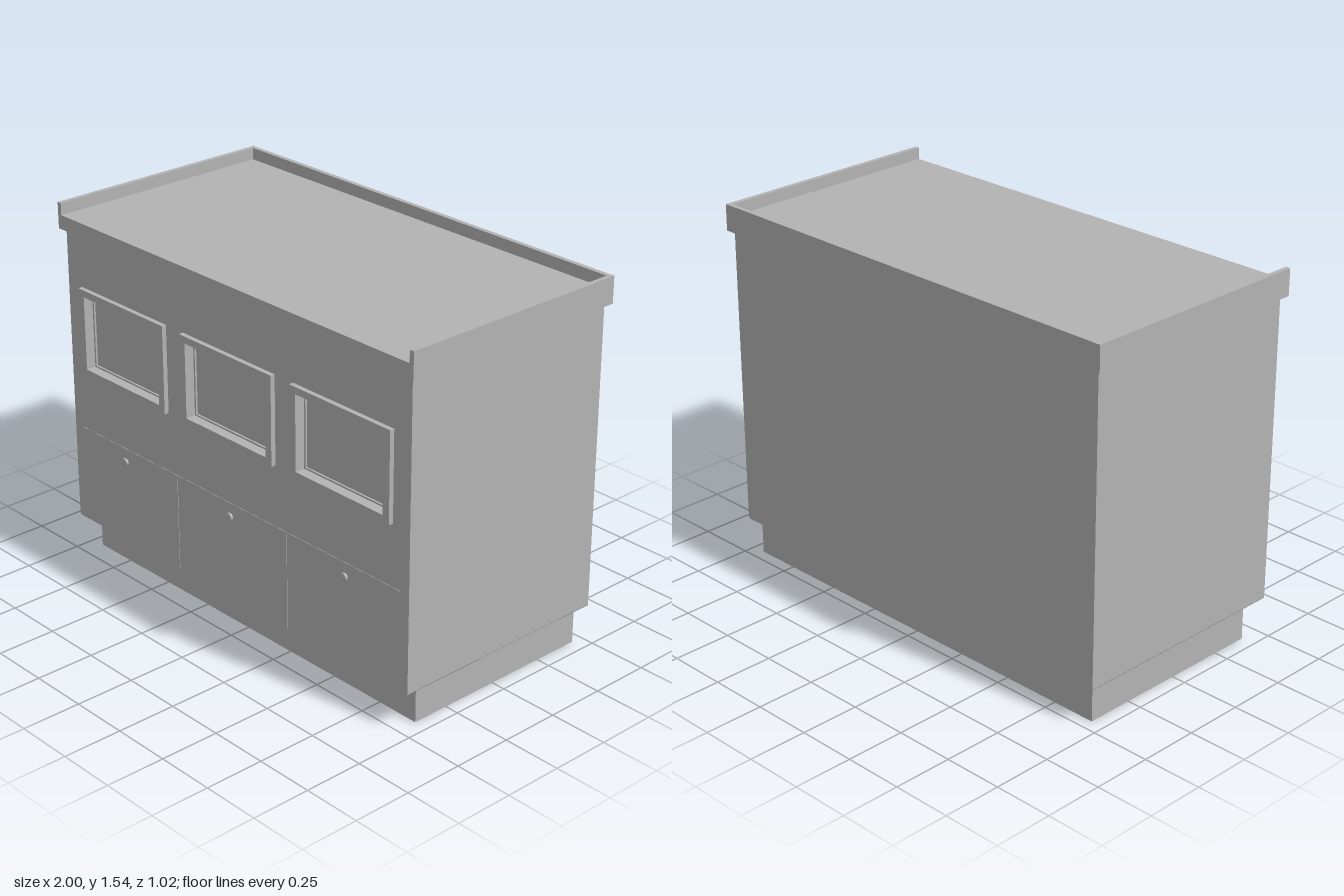
import * as THREE from 'three';

export function createModel() {
  const model = new THREE.Group();
  model.name = 'serviceCounter';
  const grey = new THREE.MeshStandardMaterial({ color: 0xb3b3b3 });
  grey.name = 'warmGrey';

  const add = (name, geometry, parent = model) => {
    const mesh = new THREE.Mesh(geometry, grey);
    mesh.name = name;
    parent.add(mesh);
    return mesh;
  };
  // Box given by its minimum and maximum on each axis
  const box = (name, x0, x1, y0, y1, z0, z1, parent) => {
    const mesh = add(name, new THREE.BoxGeometry(x1 - x0, y1 - y0, z1 - z0), parent);
    mesh.position.set((x0 + x1) / 2, (y0 + y1) / 2, (z0 + z1) / 2);
    return mesh;
  };
  const rectPath = (path, x0, x1, y0, y1) => {
    path.moveTo(x0, y0).lineTo(x1, y0).lineTo(x1, y1).lineTo(x0, y1).closePath();
    return path;
  };
  const roundedRect = (x0, x1, y0, y1, r) => {
    const s = new THREE.Shape();
    s.absarc(x1 - r, y0 + r, r, -Math.PI / 2, 0);
    s.absarc(x1 - r, y1 - r, r, 0, Math.PI / 2);
    s.absarc(x0 + r, y1 - r, r, Math.PI / 2, Math.PI);
    s.absarc(x0 + r, y0 + r, r, Math.PI, Math.PI * 1.5);
    s.closePath();
    return s;
  };
  const extrude = (shape, depth) =>
    new THREE.ExtrudeGeometry(shape, { depth, bevelEnabled: false, curveSegments: 4 });

  // Recessed plinth
  box('plinth', -0.94, 0.94, 0, 0.16, -0.45, 0.41);

  // Cabinet body with a front panel pierced by three openings
  const centres = [-0.627, 0, 0.627];
  const outline = () => roundedRect(-0.977, 0.977, 0.16, 1.43, 0.01);
  add('body', extrude(outline(), 0.95)).position.z = -0.49;
  const front = outline();
  for (const c of centres) {
    front.holes.push(rectPath(new THREE.Path(), c - 0.23, c + 0.23, 0.865, 1.178));
  }
  add('frontPanel', extrude(front, 0.03)).position.z = 0.46;

  // Raised window frames, each with a narrow inner stop
  for (const c of centres) {
    const frame = new THREE.Group();
    frame.name = 'windowFrame';
    frame.position.x = c;
    model.add(frame);
    box('frameTop', -0.263, 0.263, 1.178, 1.207, 0.49, 0.51, frame);
    box('frameBottom', -0.263, 0.263, 0.836, 0.865, 0.49, 0.51, frame);
    for (const s of [-1, 1]) {
      const side = box('frameSide', -0.0165, 0.0165, 0.865, 1.178, 0.49, 0.51, frame);
      side.position.x = s * 0.2465;
    }
    const stop = rectPath(new THREE.Shape(), -0.23, 0.23, 0.865, 1.178);
    stop.holes.push(rectPath(new THREE.Path(), -0.222, 0.222, 0.872, 1.164));
    add('innerStop', extrude(stop, 0.008), frame).position.z = 0.46;
  }

  // Fine door seams
  box('doorSeamTop', -0.93, 0.93, 0.577, 0.581, 0.488, 0.492);
  for (const x of [-0.322, 0.322]) {
    box('doorSeam', x - 0.002, x + 0.002, 0.165, 0.577, 0.488, 0.492);
  }

  // Round door locks
  const profile = [[0.013, 0], [0.017, 0.004], [0.017, 0.01], [0.014, 0.013], [0, 0.013]]
    .map(([r, h]) => new THREE.Vector2(r, h));
  for (const x of [-0.645, 0, 0.645]) {
    const lock = add('doorLock', new THREE.LatheGeometry(profile, 20));
    lock.rotation.x = Math.PI / 2;
    lock.position.set(x, 0.523, 0.49);
  }

  // Countertop with a raised lip on the back and both sides
  box('countertop', -1, 1, 1.43, 1.49, -0.51, 0.51);
  box('backLip', -1, 1, 1.49, 1.54, -0.51, -0.49);
  for (const s of [-1, 1]) {
    box('sideLip', -0.01, 0.01, 1.49, 1.54, -0.49, 0.51).position.x = s * 0.99;
  }
  return model;
}
